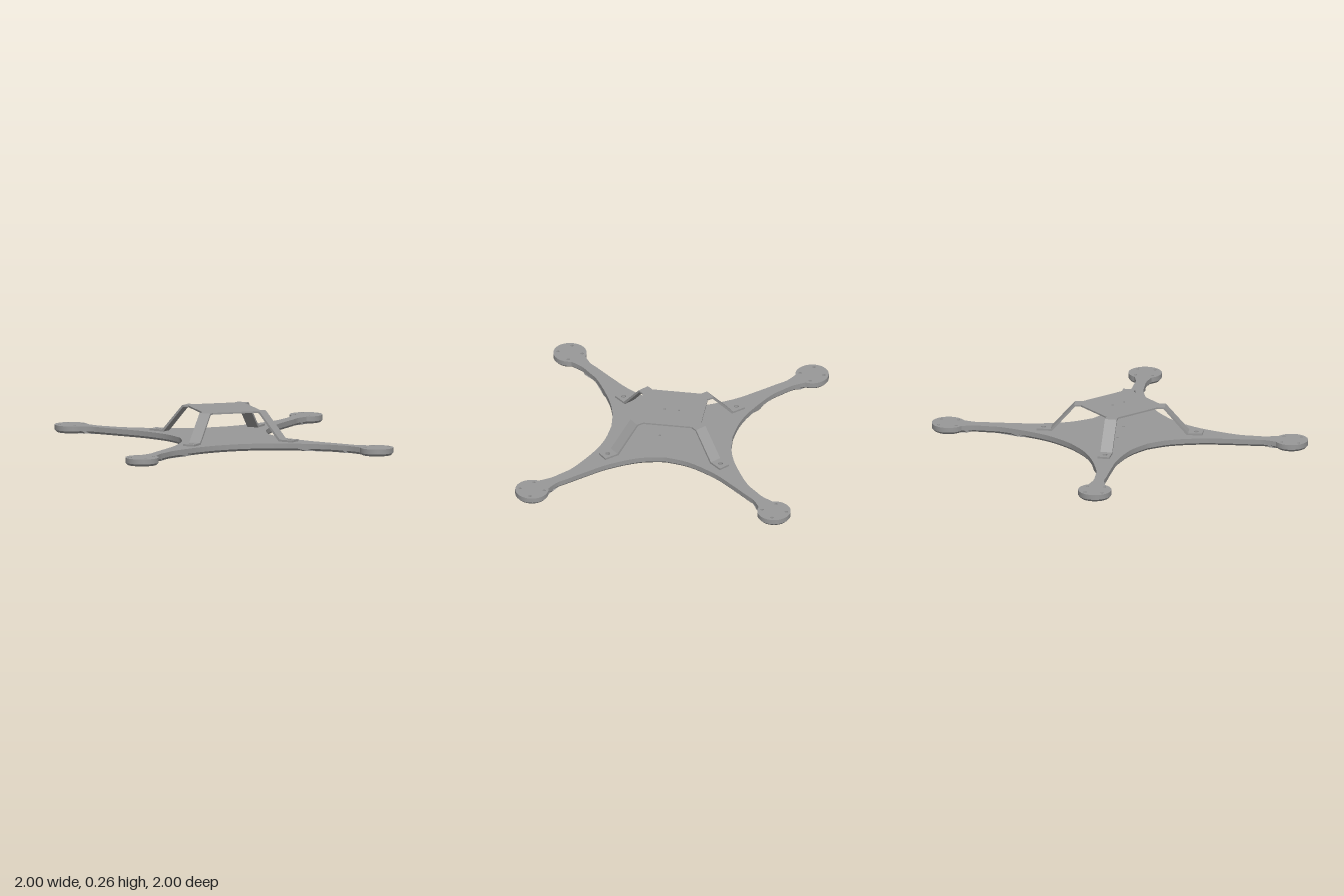
import * as THREE from 'three';
import { toCreasedNormals } from 'three/addons/utils/BufferGeometryUtils.js';

const V = (x, y) => new THREE.Vector2(x, y);
const mirrors = [[1, 1], [-1, 1], [-1, -1], [1, -1]];

// Flat plate in the xz plane, from an outline and round holes [x, z, radius]
function plate(points, holes, top, depth, steps = 1) {
  const shape = new THREE.Shape(points);
  for (const [x, z, r] of holes) {
    const path = new THREE.Path();
    path.absarc(x, z, r, 0, Math.PI * 2, true);
    shape.holes.push(path);
  }
  const geo = new THREE.ExtrudeGeometry(shape, { depth, steps, bevelEnabled: false, curveSegments: 10 });
  return geo.rotateX(Math.PI / 2).translate(0, top, 0);
}

// One quarter of the cross-shaped outline, from the side waist to the front waist
function quarterOutline() {
  const curve = (pts) => new THREE.SplineCurve(pts).getPoints(24);
  const side = curve([V(0.332, 0), V(0.37, 0.18), V(0.48, 0.38), V(0.6, 0.525), V(0.717, 0.655), V(0.77, 0.715), V(0.85, 0.764)]);
  const pad = [];
  for (let i = 1; i < 32; i++) {
    const a = THREE.MathUtils.degToRad(-104.5 + (299 * i) / 32);
    pad.push(V(0.88 + 0.12 * Math.cos(a), 0.88 + 0.12 * Math.sin(a)));
  }
  const front = curve([V(0.764, 0.85), V(0.715, 0.77), V(0.655, 0.71), V(0.556, 0.626), V(0.337, 0.513), V(0.17, 0.46), V(0, 0.441)]);
  return [...side, ...pad, ...front];
}

function frameGeometry() {
  const quarter = quarterOutline();
  const outline = mirrors.flatMap(([sx, sz]) => {
    const pts = quarter.map((p) => V(p.x * sx, p.y * sz));
    return (sx * sz < 0 ? pts.reverse() : pts).slice(0, -1);
  });
  const holes = [[0.06, 0.08, 0.009], [-0.1, -0.1, 0.009]];
  for (const [sx, sz] of mirrors) {
    holes.push([0.364 * sx, 0.412 * sz, 0.018]);
    for (const [dx, dz] of [[0.088, 0], [-0.088, 0], [0, 0.088], [0, -0.088]])
      holes.push([0.88 * sx + dx, 0.88 * sz + dz, 0.011]);
  }
  const geo = plate(outline, holes, 0.052, 0.052, 2);

  // Draw the lower rim inward to make the bottom chamfer
  const key = (x, z) => Math.round(x * 2000) + ',' + Math.round(z * 2000);
  const inset = new Map();
  const n = outline.length;
  outline.forEach((p, i) => {
    const t = outline[(i + 1) % n].clone().sub(outline[(i + n - 1) % n]).normalize();
    inset.set(key(p.x, p.y), V(-t.y, t.x).multiplyScalar(0.014));
  });
  const pos = geo.attributes.position;
  for (let i = 0; i < pos.count; i++) {
    const y = pos.getY(i);
    if (y > 0.04) continue;
    if (y > 0.01) { pos.setY(i, 0.016); continue; }
    pos.setY(i, 0);
    const d = inset.get(key(pos.getX(i), pos.getZ(i)));
    if (d) pos.setXYZ(i, pos.getX(i) + d.x, 0, pos.getZ(i) + d.y);
  }
  return toCreasedNormals(geo, 0.5);
}

export function createModel() {
  const group = new THREE.Group();
  const grey = new THREE.MeshStandardMaterial({ color: 0x999999 });
  grey.name = 'grey';
  const add = (name, geo, parent = group) => {
    const mesh = new THREE.Mesh(geo, grey);
    mesh.name = name;
    parent.add(mesh);
    return mesh;
  };

  // Cross-shaped frame with four round motor pads
  add('frame', frameGeometry());

  // Raised plate with cut corners
  const corners = mirrors.flatMap(([sx, sz]) => {
    const pts = [V(0.214 * sx, 0.18 * sz), V(0.155 * sx, 0.236 * sz)];
    return sx * sz < 0 ? pts.reverse() : pts;
  });
  add('topPlate', plate(corners, [[0.02, -0.054, 0.009], [0.02, 0.05, 0.009]], 0.256, 0.012));

  // Bent strap legs running from the plate corners down to drilled feet
  const w = 0.043;
  const strap = new THREE.Shape([
    V(-0.002, 0.244), V(0.04, 0.244), V(0.207, 0.052), V(0.217, 0.052),
    V(0.217, 0.066), V(0.048, 0.256), V(-0.002, 0.256),
  ]);
  const strapGeo = new THREE.ExtrudeGeometry(strap, { depth: 2 * w, bevelEnabled: false }).translate(0, 0, -w);
  const footGeo = plate([V(0.217, -w), V(0.32, -w), V(0.32, w), V(0.217, w)], [[0.272, 0, 0.018]], 0.066, 0.014);
  for (const [sx, sz] of mirrors) {
    const leg = new THREE.Group();
    leg.name = 'plateLeg';
    leg.position.set(0.185 * sx, 0, 0.208 * sz);
    leg.rotation.y = -Math.atan2(0.74 * sz, 0.67 * sx);
    add('strap', strapGeo, leg);
    add('foot', footGeo, leg);
    group.add(leg);
  }
  return group;
}
